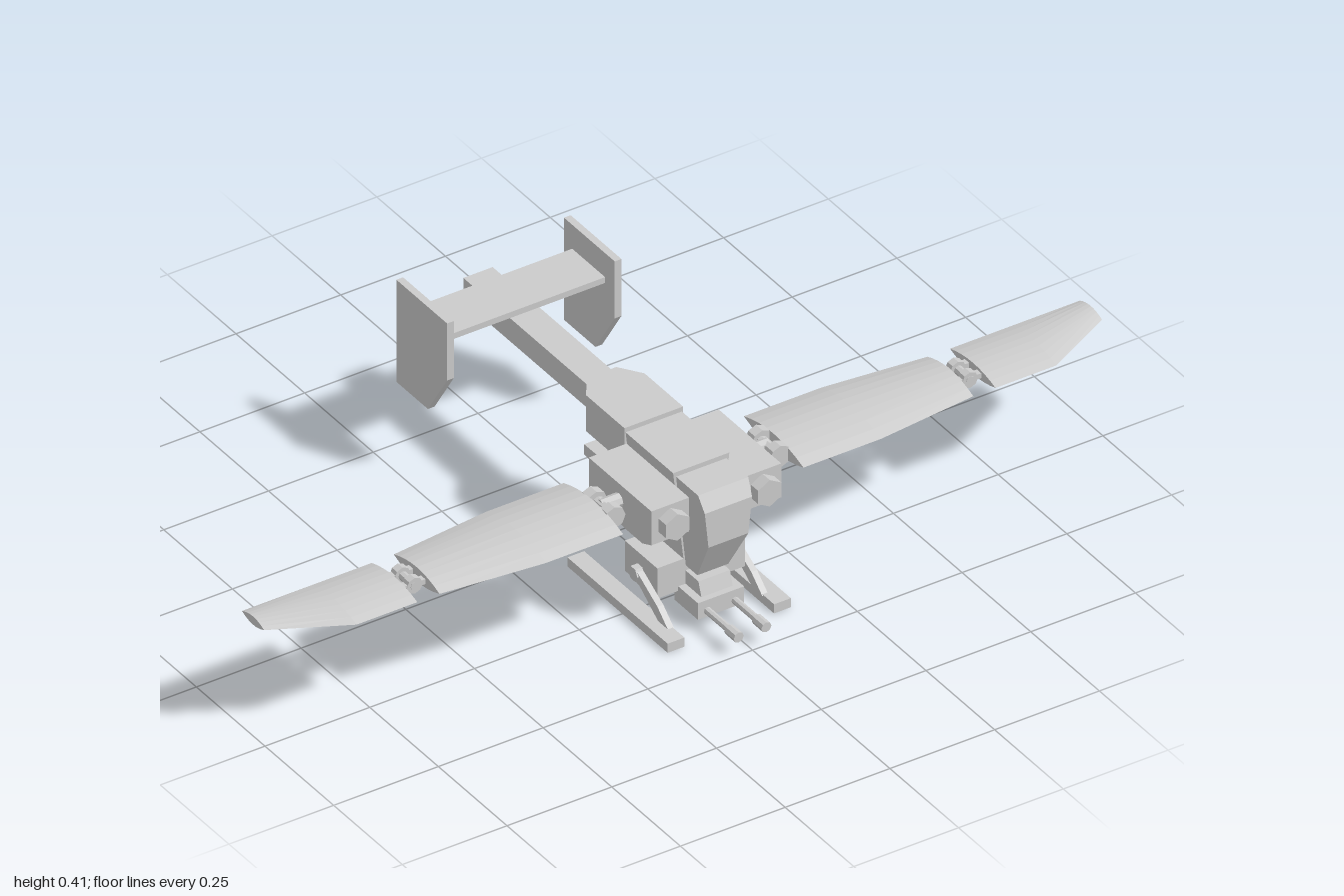
import * as THREE from 'three';

const material = new THREE.MeshStandardMaterial({ color: 0xcccccc, flatShading: true });

export function createModel() {
  const model = new THREE.Group();

  const add = (name, geometry, x = 0, y = 0, z = 0) => {
    const mesh = new THREE.Mesh(geometry, material);
    mesh.name = name;
    mesh.position.set(x, y, z);
    model.add(mesh);
    return mesh;
  };

  // Box given by its limits on each axis
  const box = (name, x0, x1, y0, y1, z0, z1) =>
    add(name, new THREE.BoxGeometry(Math.abs(x1 - x0), y1 - y0, Math.abs(z1 - z0)),
      (x0 + x1) / 2, (y0 + y1) / 2, (z0 + z1) / 2);

  // Side profile of [z, y] points, extruded across x; taper(y) scales the width
  const slab = (name, points, width, x = 0, taper = null) => {
    const shape = new THREE.Shape(points.map(([z, y]) => new THREE.Vector2(z, y)));
    const geometry = new THREE.ExtrudeGeometry(shape, { depth: width, bevelEnabled: false });
    geometry.translate(0, 0, -width / 2).rotateY(-Math.PI / 2);
    if (taper) {
      const p = geometry.attributes.position;
      for (let i = 0; i < p.count; i++) p.setX(i, p.getX(i) * taper(p.getY(i)));
      geometry.computeVertexNormals();
    }
    return add(name, geometry, x);
  };

  // Round or hexagonal rod between two points
  const rod = (name, a, b, radius, sides = 8) => {
    const from = new THREE.Vector3(...a), to = new THREE.Vector3(...b);
    const dir = to.clone().sub(from);
    const mesh = add(name, new THREE.CylinderGeometry(radius, radius, dir.length(), sides));
    mesh.position.copy(from).add(to).multiplyScalar(0.5);
    mesh.quaternion.setFromUnitVectors(new THREE.Vector3(0, 1, 0), dir.normalize());
    return mesh;
  };

  // Lens-section wing panel; stations are [x, zBack, zFront, halfThickness]
  const wingPanel = (name, stations, side) => {
    const n = 8, ring = 2 * n, positions = [], index = [];
    const rows = stations.map(([x, ...rest]) => [x * side, ...rest]).sort((a, b) => a[0] - b[0]);
    for (const [x, back, front, half] of rows) {
      for (let i = 0; i < ring; i++) {
        const t = i < n ? i / n : 2 - i / n;
        const lift = half * (1 - Math.pow(2 * t - 1, 2)) * (i < n ? 1 : -1);
        positions.push(x, 0.279 + lift, back + (front - back) * t);
      }
    }
    for (let r = 0; r < rows.length - 1; r++) {
      for (let i = 0; i < ring; i++) {
        const a = r * ring + i, b = r * ring + (i + 1) % ring;
        index.push(a, b, a + ring, b, b + ring, a + ring);
      }
    }
    const last = (rows.length - 1) * ring;
    for (let i = 1; i < ring - 1; i++) {
      index.push(0, i + 1, i, last, last + i, last + i + 1);
    }
    const geometry = new THREE.BufferGeometry();
    geometry.setAttribute('position', new THREE.Float32BufferAttribute(positions, 3));
    geometry.setIndex(index);
    geometry.computeVertexNormals();
    return add(name, geometry);
  };

  // Fuselage: narrow towards the belly
  const narrow = y => 1 - (0.345 - y) * 1.7;
  slab('nose', [[0.31, 0.335], [0.31, 0.112], [0.355, 0.112], [0.412, 0.215], [0.412, 0.3], [0.393, 0.335]],
    0.122, 0, narrow);
  slab('fuselage', [[0.313, 0.346], [0.313, 0.03], [0.185, 0.03], [0.185, 0.07], [0.152, 0.17], [0.14, 0.25], [0.14, 0.346]],
    0.134, 0, narrow);

  // Rear housing with a chamfered back, drawn in plan
  const plan = new THREE.Shape([[-0.07, -0.14], [0.07, -0.14], [0.07, 0], [0.035, 0.05], [-0.035, 0.05], [-0.07, 0]]
    .map(p => new THREE.Vector2(...p)));
  const housing = new THREE.ExtrudeGeometry(plan, { depth: 0.087, bevelEnabled: false }).rotateX(-Math.PI / 2);
  add('rearHousing', housing, 0, 0.27, 0);

  // Belly block and its flat rear ledge
  slab('rearBelly', [[0.16, 0.268], [0.16, 0.19], [0.025, 0.19], [0.025, 0.232], [0.062, 0.268]], 0.07);
  slab('rearLedge', [[0.16, 0.206], [0.155, 0.165], [-0.045, 0.178], [-0.045, 0.203]], 0.09);

  // Tail
  box('tailBoom', -0.035, 0.035, 0.285, 0.341, -0.5, -0.04);
  box('tailPlane', -0.2, 0.2, 0.341, 0.355, -0.45, -0.33);

  // Chin weapon mount
  box('chinBox', -0.105, 0.105, 0.057, 0.13, 0.195, 0.313);
  slab('turret', [[0.3, 0.1], [0.3, 0.03], [0.372, 0.03], [0.372, 0.065], [0.36, 0.1]], 0.075);
  box('turretBase', -0.055, 0.055, 0.028, 0.068, 0.3, 0.385);

  for (const s of [-1, 1]) {
    slab('tailFin', [[-0.295, 0.413], [-0.295, 0.275], [-0.365, 0.166], [-0.48, 0.166], [-0.48, 0.413]],
      0.016, s * 0.2);

    // Engine pods with hexagonal intakes
    slab('enginePod', [[0.368, 0.318], [0.368, 0.236], [0.335, 0.222], [0.27, 0.222], [0.14, 0.245], [0.14, 0.318]],
      0.09, s * 0.11);
    rod('engineIntake', [s * 0.11, 0.278, 0.36], [s * 0.11, 0.278, 0.395], 0.032, 6);

    // Guns
    rod('gunBarrel', [s * 0.033, 0.043, 0.37], [s * 0.033, 0.043, 0.5], 0.008);
    rod('gunMuzzle', [s * 0.033, 0.043, 0.465], [s * 0.033, 0.043, 0.5], 0.012);

    // Landing skids on slanted struts
    box('skid', s * 0.107, s * 0.147, 0, 0.022, 0.05, 0.415);
    slab('skidStrut', [[0.255, 0.1], [0.235, 0.075], [0.27, 0.068], [0.34, 0.02], [0.375, 0.02], [0.335, 0.055]],
      0.014, s * 0.112);
    rod('strutPivot', [s * 0.098, 0.087, 0.25], [s * 0.122, 0.087, 0.25], 0.017, 6);

    // Folding wings: two panels and their hinges
    wingPanel('innerWing', [[0.215, 0.14, 0.357, 0.02], [0.4, 0.14, 0.357, 0.02], [0.637, 0.165, 0.332, 0.017]], s);
    wingPanel('outerWing', [[0.69, 0.166, 0.332, 0.014], [0.835, 0.166, 0.332, 0.014], [1, 0.166, 0.247, 0.01]], s);
    rod('wingRootPin', [s * 0.15, 0.279, 0.25], [s * 0.2, 0.279, 0.25], 0.016);
    rod('wingRootAxle', [s * 0.195, 0.279, 0.205], [s * 0.195, 0.279, 0.295], 0.014);
    rod('wingJointAxle', [s * 0.663, 0.279, 0.218], [s * 0.663, 0.279, 0.282], 0.01);
    for (const z of [0.222, 0.288]) {
      rod('wingRootKnuckle', [s * 0.198, 0.279, z - 0.012], [s * 0.198, 0.279, z + 0.012], 0.026);
      box('wingRootLug', s * 0.195, s * 0.225, 0.268, 0.29, z - 0.01, z + 0.01);
    }
    for (const z of [0.228, 0.272]) {
      rod('wingJointKnuckle', [s * 0.663, 0.279, z - 0.009], [s * 0.663, 0.279, z + 0.009], 0.019);
      box('wingJointLug', s * 0.63, s * 0.697, 0.273, 0.285, z - 0.008, z + 0.008);
    }
  }
  return model;
}
